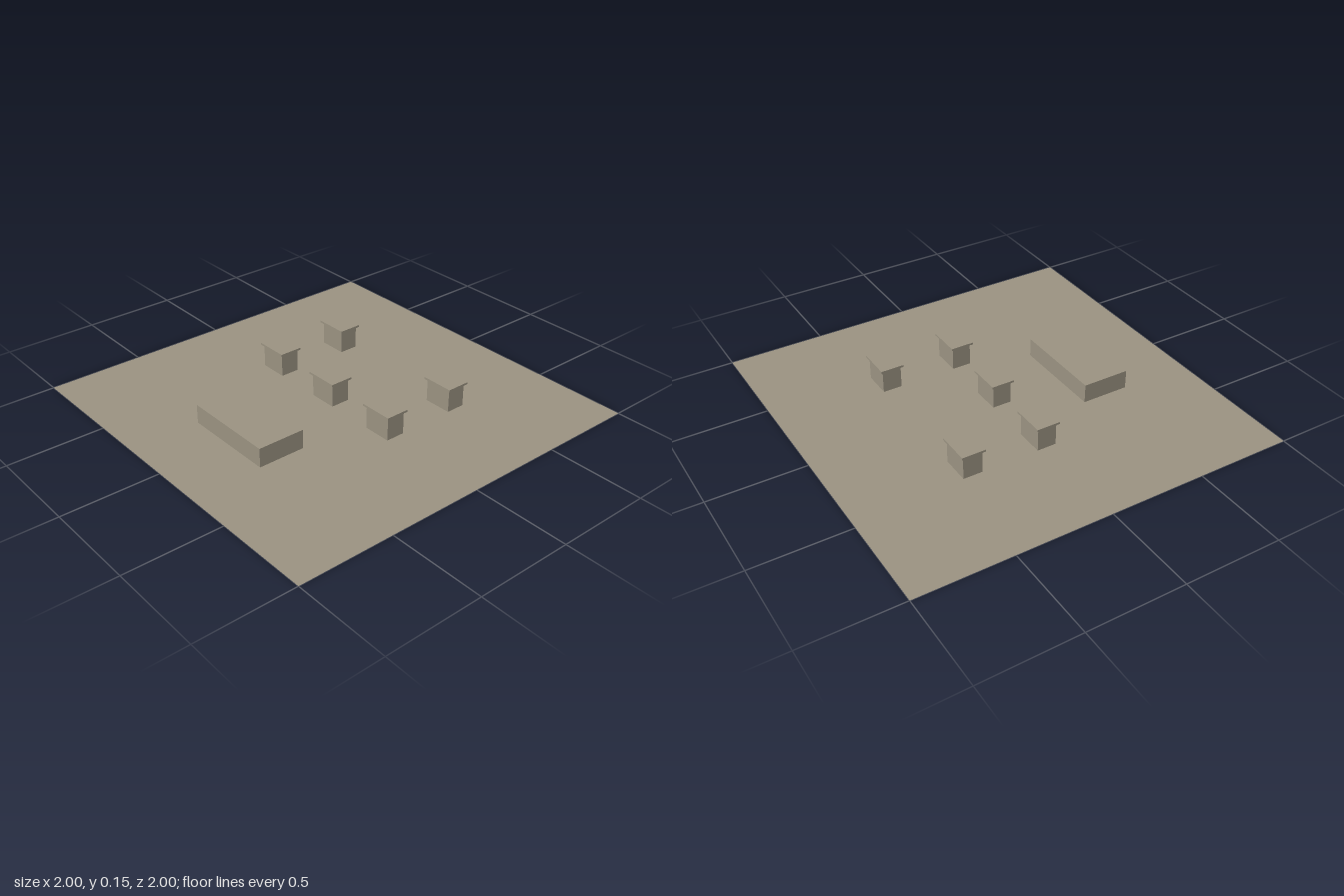
import * as THREE from 'three';

const stone = new THREE.MeshStandardMaterial({ color: 0x999180, side: THREE.DoubleSide });
stone.name = 'warm grey stone';

// Box spanning from y0 to y1, centred on x and z
function block(name, width, y0, y1, depth) {
  const mesh = new THREE.Mesh(new THREE.BoxGeometry(width, y1 - y0, depth), stone);
  mesh.position.y = (y0 + y1) / 2;
  mesh.name = name;
  return mesh;
}

// Small block with an overhanging slab on top
function makePedestal(x, z) {
  const pedestal = new THREE.Group();
  pedestal.name = 'pedestal';
  pedestal.add(
    block('pedestalBody', 0.148, 0.017, 0.137, 0.1),
    block('pedestalLid', 0.173, 0.137, 0.148, 0.123),
  );
  pedestal.position.set(x, 0, z);
  return pedestal;
}

export function createModel() {
  const model = new THREE.Group();
  model.name = 'courtyard';

  // Flat ground sheet
  const ground = new THREE.Mesh(new THREE.PlaneGeometry(2, 2).rotateX(-Math.PI / 2), stone);
  ground.name = 'ground';
  model.add(ground);

  // Long low platform at the front
  const platform = block('platform', 0.5, 0, 0.1, 0.25);
  platform.position.z = 0.5;
  model.add(platform);

  // Middle row of three and back row of two
  for (const [x, z] of [[-0.4, 0], [0, 0], [0.4, 0], [-0.4, -0.4], [0.4, -0.4]]) {
    model.add(makePedestal(x, z));
  }
  return model;
}
